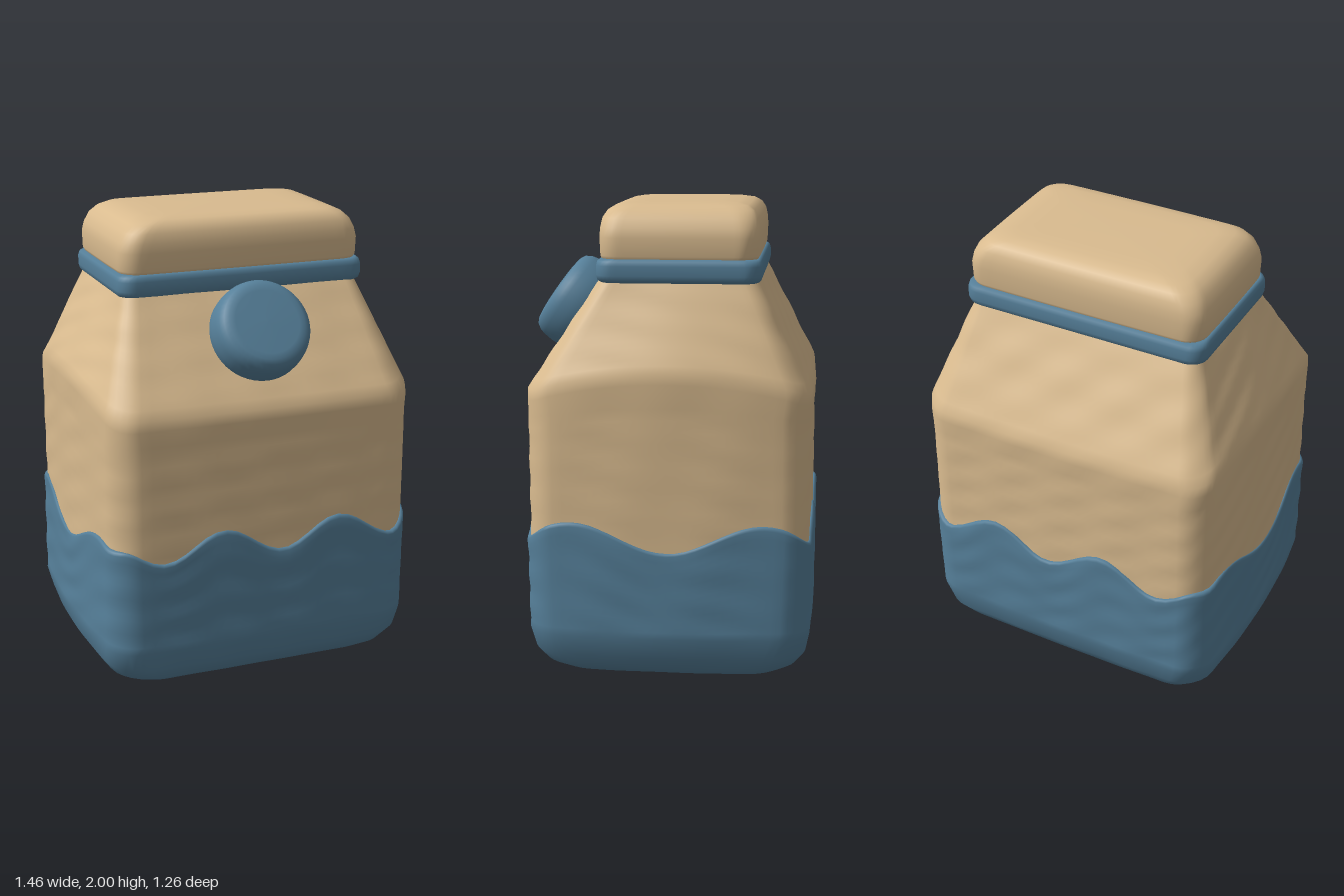
import * as THREE from 'three';

const tan = new THREE.MeshStandardMaterial({ color: 0xd9bb8f });
tan.name = 'tan carton';
const blue = new THREE.MeshStandardMaterial({ color: 0x56809a });
blue.name = 'blue trim';

// Rounded rectangle outline: list of { corner signs, angle, side blend }
const CORNER = 6, SIDE = 24;
function outline(hx, hz, r) {
  const pts = [];
  const corner = (k, a) => {
    const sx = k === 0 || k === 3 ? 1 : -1, sz = k < 2 ? 1 : -1;
    return [sx * (hx - r) + r * Math.cos(a), sz * (hz - r) + r * Math.sin(a), Math.cos(a), Math.sin(a)];
  };
  for (let k = 0; k < 4; k++) {
    for (let i = 0; i <= CORNER; i++) pts.push(corner(k, (k + i / CORNER) * Math.PI / 2));
    const a = (k + 1) * Math.PI / 2, p = corner(k, a), q = corner((k + 1) % 4, a);
    for (let i = 1; i < SIDE; i++) pts.push(p.map((v, j) => v + (q[j] - v) * i / SIDE));
  }
  return pts;
}

// Slightly uneven, hand-shaped surface
const wobble = (x, y, z) =>
  Math.sin(9 * x + 23 * y + 5 * z) * Math.sin(13 * x - 17 * y + 11 * z) +
  0.6 * Math.sin(21 * x + 41 * y - 19 * z);

// Loft through rows [y, halfX, halfZ, cornerRadius, bulgeX, bulgeZ, centreX, centreZ, sideLift]
function loft(name, material, rows, { steps = 1, rough = 0, mapY = (y) => y } = {}) {
  const rings = [];
  rows.forEach((row, i) => {
    if (i === 0) return rings.push(row);
    const prev = rows[i - 1], n = row[0] - prev[0] > 0.15 ? steps : 1;
    for (let s = 1; s <= n; s++) rings.push(row.map((v, j) => prev[j] + (v - prev[j]) * s / n));
  });
  const pos = [], index = [], N = 4 * (CORNER + SIDE);
  for (const [y, hx, hz, r, bx, bz, cx, cz, lift] of rings) {
    for (const [x, z, nx, nz] of outline(hx, hz, Math.min(r, hx, hz))) {
      const fx = hx ? 1 - (x / hx) ** 2 : 0, fz = hz ? 1 - (z / hz) ** 2 : 0;
      const w = hx ? rough * wobble(x, y, z) : 0;
      pos.push(
        x + cx + nx * (bx * fz + w),
        mapY(y, x, z, nx) + lift * nx * nx * fz,
        z + cz + nz * (bz * fx + w));
    }
  }
  for (let j = 0; j < rings.length - 1; j++) {
    for (let i = 0; i < N; i++) {
      const a = j * N + i, b = j * N + (i + 1) % N;
      index.push(a, a + N, b, b, a + N, b + N);
    }
  }
  const geo = new THREE.BufferGeometry();
  geo.setAttribute('position', new THREE.Float32BufferAttribute(pos, 3));
  geo.setIndex(index);
  geo.computeVertexNormals();
  const mesh = new THREE.Mesh(geo, material);
  mesh.name = name;
  return mesh;
}

// Wavy upper edge of the blue base: short waves front and back, long waves on the sides
function waveHeight(x, z, nx) {
  const front = 0.66 + 0.06 * Math.cos(2 * Math.PI * (x + 0.2) / 0.53);
  const side = 0.63 + 0.06 * Math.cos(2 * Math.PI * (Math.abs(z) - 0.4) / 0.8);
  return front + (side - front) * nx * nx;
}

export function createModel() {
  const group = new THREE.Group();
  group.name = 'carton';

  // Carton body with sloping shoulders
  group.add(loft('body', tan, [
    [0.5, 0.67, 0.588, 0.11, 0.045, 0.012, 0, 0, 0],
    [1.12, 0.67, 0.588, 0.11, 0.045, 0.012, 0, 0, 0.06],
    [1.19, 0.67, 0.59, 0.1, 0.05, 0.015, 0, 0, 0.09],
    [1.235, 0.664, 0.588, 0.1, 0.053, 0.015, 0, 0, 0.09],
    [1.275, 0.65, 0.568, 0.1, 0.053, 0.012, 0, -0.002, 0.08],
    [1.7, 0.525, 0.325, 0.06, 0.005, 0, 0.005, -0.035, 0],
  ], { steps: 14, rough: 0.0022 }));

  // Blue base with wavy rim
  const mapY = (y, x, z, nx) => y <= 0.22 ? y : 0.22 + (y - 0.22) * (waveHeight(x, z, nx) - 0.22) / 0.43;
  group.add(loft('wavyBase', blue, [
    [0, 0, 0, 0, 0, 0, 0, 0, 0],
    [0, 0.52, 0.43, 0.14, 0.02, 0, 0, 0, 0],
    [0.012, 0.575, 0.485, 0.14, 0.025, 0.005, 0, 0, 0],
    [0.05, 0.63, 0.54, 0.14, 0.035, 0.008, 0, 0, 0],
    [0.11, 0.665, 0.575, 0.13, 0.04, 0.01, 0, 0, 0],
    [0.2, 0.682, 0.595, 0.12, 0.045, 0.014, 0, 0, 0],
    [0.635, 0.68, 0.6, 0.11, 0.045, 0.014, 0, 0, 0],
    [0.646, 0.677, 0.597, 0.11, 0.045, 0.013, 0, 0, 0],
    [0.65, 0.67, 0.59, 0.11, 0.045, 0.012, 0, 0, 0],
    [0.65, 0.64, 0.56, 0.11, 0.045, 0.012, 0, 0, 0],
  ], { steps: 14, rough: 0.0022, mapY }));

  // Blue band round the neck
  const band = [[1.675, 0.48, 0.27], [1.675, 0.54, 0.33], [1.685, 0.552, 0.341], [1.705, 0.557, 0.346],
    [1.745, 0.557, 0.346], [1.763, 0.552, 0.341], [1.773, 0.54, 0.33], [1.773, 0.48, 0.27]];
  group.add(loft('neckBand', blue, band.map(([y, hx, hz]) => [y, hx, hz, 0.07, 0, 0, 0.01, -0.035, 0])));

  // Soft folded top
  const top = [[1.76, 0.5, 0.29], [1.765, 0.53, 0.322], [1.785, 0.54, 0.33], [1.86, 0.542, 0.333],
    [1.9, 0.532, 0.331], [1.94, 0.512, 0.323], [1.97, 0.48, 0.305], [1.988, 0.44, 0.277],
    [1.997, 0.38, 0.23], [2, 0.28, 0.15], [2, 0, 0]];
  group.add(loft('foldedTop', tan, top.map(([y, hx, hz]) => [y, hx, hz, 0.08, 0.004, 0.004, 0.01, -0.035, 0])));

  // Round cap on the front slope
  const profile = [[0.19, -0.04], [0.203, 0], [0.21, 0.02], [0.211, 0.06], [0.207, 0.1], [0.2, 0.125],
    [0.185, 0.148], [0.165, 0.158], [0.14, 0.162], [0, 0.164]].map(([r, h]) => new THREE.Vector2(r, h));
  const cap = new THREE.Mesh(new THREE.LatheGeometry(profile, 48), blue);
  cap.name = 'screwCap';
  cap.position.set(0.01, 1.503, 0.415);
  cap.quaternion.setFromUnitVectors(new THREE.Vector3(0, 1, 0), new THREE.Vector3(0, 0.57, 0.82).normalize());
  group.add(cap);

  return group;
}
